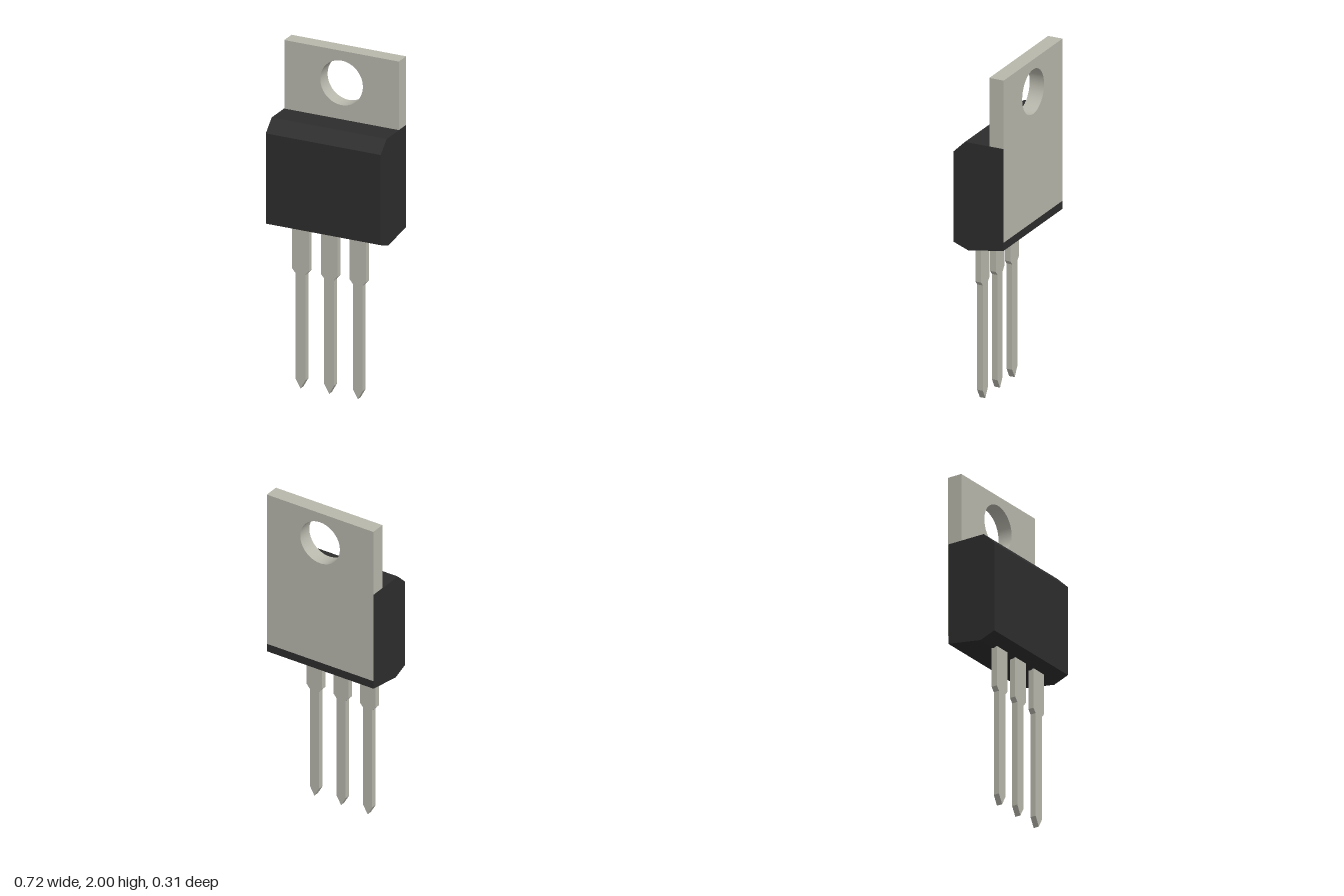
import * as THREE from 'three';

const metal = new THREE.MeshStandardMaterial({ name: 'tinned metal', color: 0xb8b7ac });
const plastic = new THREE.MeshStandardMaterial({ name: 'black plastic', color: 0x2d2d2d });

const shapeOf = (points) => new THREE.Shape(points.map(([x, y]) => new THREE.Vector2(x, y)));

// Extrude a shape from z = back to z = front
function slab(name, shape, back, front, material) {
  const geometry = new THREE.ExtrudeGeometry(shape, {
    depth: front - back, bevelEnabled: false, curveSegments: 48,
  });
  geometry.translate(0, 0, back);
  const mesh = new THREE.Mesh(geometry, material);
  mesh.name = name;
  return mesh;
}

export function createModel() {
  const model = new THREE.Group();
  model.name = 'transistor';

  // Moulded body: side profile in (z, y), swept across the width
  const half = 0.359;
  const profile = shapeOf([
    [0.157, 0.98], [0.157, 1.52], [0.085, 1.59],
    [-0.155, 1.59], [-0.155, 0.98], [0.065, 0.945],
  ]);
  const body = slab('body', profile, -half, half, plastic);
  body.geometry.rotateY(-Math.PI / 2);
  model.add(body);

  // Heat sink plate with mounting hole, its back exposed behind the body
  const w = half - 0.001;
  const plate = shapeOf([[-w, 1.03], [w, 1.03], [w, 2], [-w, 2]]);
  const hole = new THREE.Path();
  hole.absarc(0, 1.808, 0.133, 0, Math.PI * 2, true);
  plate.holes.push(hole);
  model.add(slab('heatSinkPlate', plate, -0.157, -0.067, metal));

  // Three legs, stepped at the shoulder and pointed at the tip
  const wide = 0.052, narrow = 0.031;
  const leg = shapeOf([
    [0, 0], [narrow, 0.055], [narrow, 0.685], [wide, 0.71], [wide, 1],
    [-wide, 1], [-wide, 0.71], [-narrow, 0.685], [-narrow, 0.055],
  ]);
  [['rightLeg', -0.179], ['middleLeg', 0], ['leftLeg', 0.179]].forEach(([name, x]) => {
    const mesh = slab(name, leg, 0.05, 0.085, metal);
    mesh.position.x = x;
    model.add(mesh);
  });

  return model;
}
